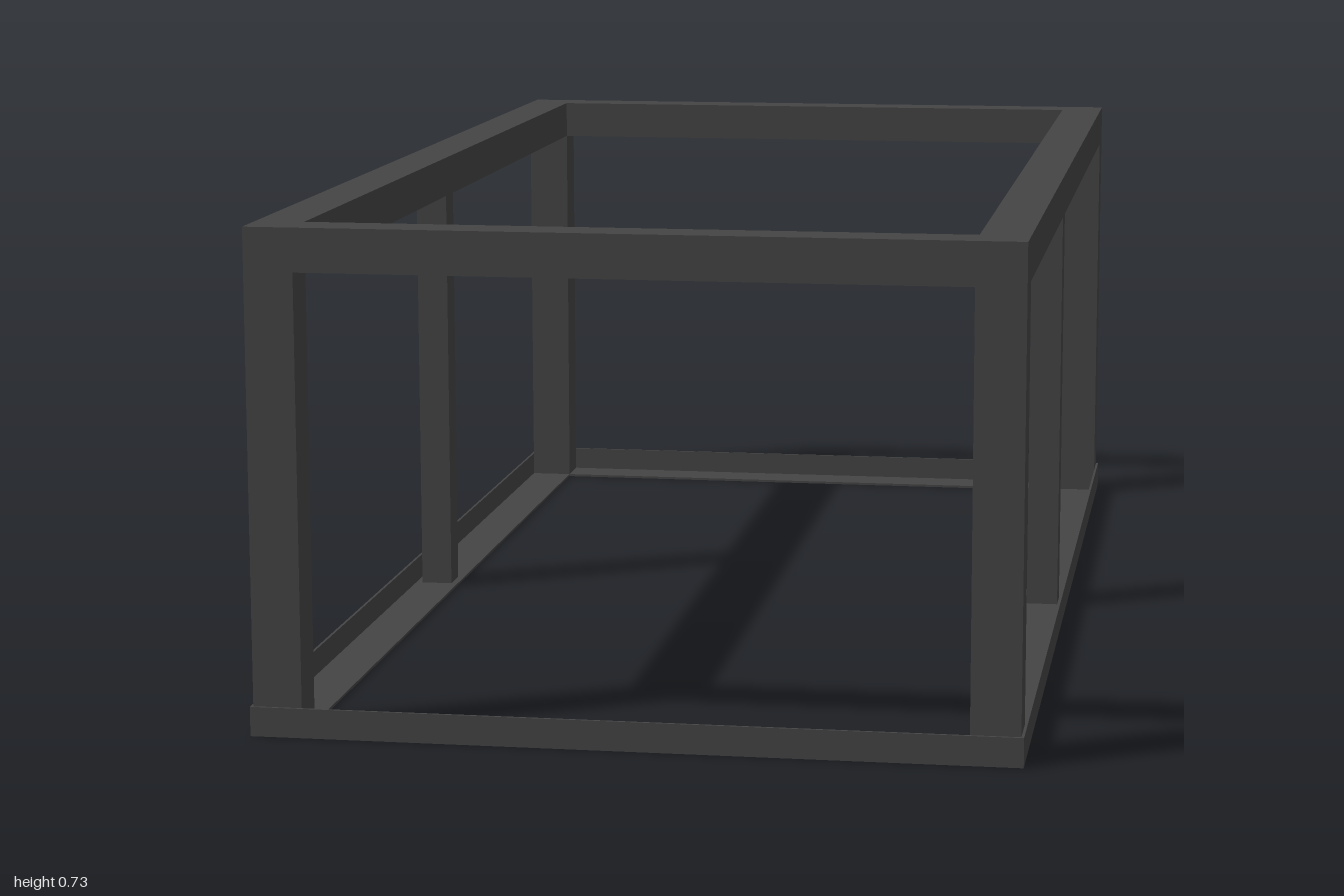
import * as THREE from 'three';

// Flat rectangular ring with its base at y, centred on the origin
function ring(name, material, outX, outZ, inX, inZ, y, height) {
  const rect = (path, x, z) => path.moveTo(-x, -z).lineTo(x, -z).lineTo(x, z).lineTo(-x, z).closePath();
  const shape = rect(new THREE.Shape(), outX, outZ);
  shape.holes.push(rect(new THREE.Path(), inX, inZ));
  const geometry = new THREE.ExtrudeGeometry(shape, { depth: height, bevelEnabled: false });
  geometry.rotateX(-Math.PI / 2).translate(0, y, 0);
  const mesh = new THREE.Mesh(geometry, material);
  mesh.name = name;
  return mesh;
}

// Upright square bar standing between two heights
function post(name, material, x, z, width, depth, y0, y1) {
  const mesh = new THREE.Mesh(new THREE.BoxGeometry(width, y1 - y0, depth), material);
  mesh.name = name;
  mesh.position.set(x, (y0 + y1) / 2, z);
  return mesh;
}

export function createModel() {
  const group = new THREE.Group();
  group.name = 'tubeFrame';
  const steel = new THREE.MeshStandardMaterial({ color: 0x444444 });
  steel.name = 'darkSteel';

  const sheet = 0.004, lipTop = 0.043, railBottom = 0.667, top = 0.73;
  const halfX = 0.546, halfZ = 0.996;
  const tubeX = 0.071, tubeZ = 0.066;

  // Angle-iron base: flat flange with an upright lip round the outside
  group.add(ring('baseFlange', steel, 0.55, 1, halfX - tubeX, halfZ - tubeZ, 0, sheet));
  group.add(ring('baseLip', steel, 0.55, 1, halfX, halfZ, sheet, lipTop - sheet));

  // Top rails
  group.add(ring('topRails', steel, halfX, halfZ, halfX - tubeX, halfZ - tubeZ, railBottom, top - railBottom));

  // Corner legs and thinner middle posts, standing inside the base
  for (const side of [-1, 1]) {
    const label = side > 0 ? 'left' : 'right';
    const x = side * (halfX - tubeX / 2);
    for (const end of [-1, 1]) {
      const name = label + (end > 0 ? 'FrontLeg' : 'BackLeg');
      group.add(post(name, steel, x, end * (halfZ - tubeZ / 2), tubeX, tubeZ, sheet, railBottom));
    }
    group.add(post(label + 'MiddlePost', steel, x, 0.005, 0.05, 0.05, sheet, railBottom));
  }
  return group;
}
